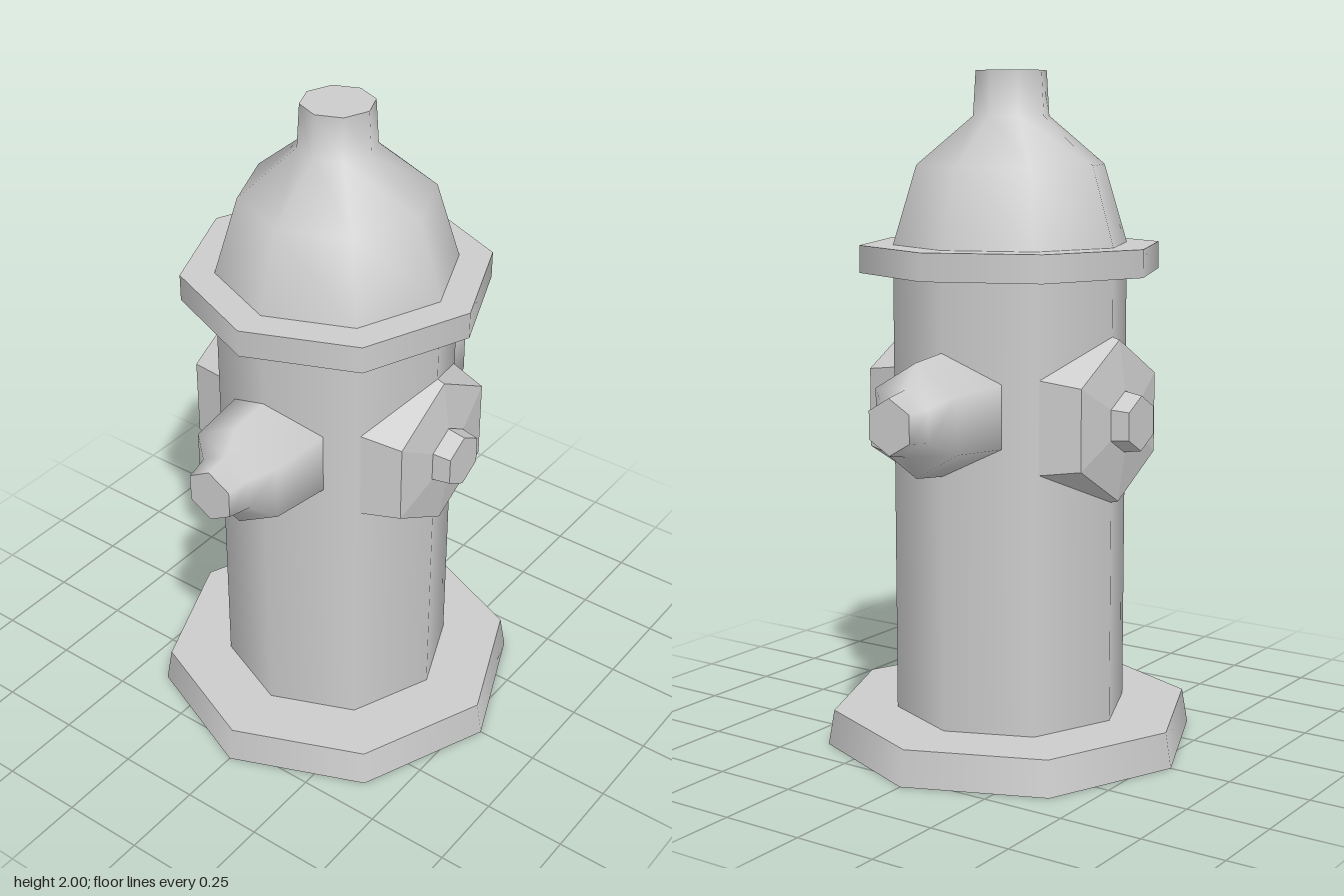
import * as THREE from 'three';
import { mergeGeometries } from 'three/addons/utils/BufferGeometryUtils.js';

const material = new THREE.MeshStandardMaterial({ color: 0xcccccc });

// Each run of [radius, height] points is smooth; edges between runs stay sharp.
function turned(name, sides, runs, flat = false) {
  const parts = runs.map((run) =>
    new THREE.LatheGeometry(run.map(([r, y]) => new THREE.Vector2(r, y)), sides));
  let geometry = mergeGeometries(parts);
  if (flat) {
    geometry = geometry.toNonIndexed();
    geometry.computeVertexNormals();
  }
  const mesh = new THREE.Mesh(geometry, material);
  mesh.name = name;
  return mesh;
}

// Points a fitting, built along +y, outwards from the barrel at the given turn.
function outlet(name, turn, height, meshes) {
  const group = new THREE.Group();
  group.name = name;
  group.rotation.set(Math.PI / 2, 0, turn, 'YXZ');
  group.rotation.set(Math.PI / 2, turn, 0, 'YXZ');
  group.position.y = height;
  group.add(...meshes);
  return group;
}

export function createModel() {
  const model = new THREE.Group();
  model.name = 'fireHydrant';

  // Octagonal body, stacked from the ground up
  model.add(
    turned('base', 8, [
      [[0, 0], [0.56, 0]],
      [[0.56, 0], [0.542, 0.105]],
      [[0.542, 0.105], [0, 0.105]],
    ]),
    turned('barrel', 8, [[[0.35, 0.1], [0.35, 1.43]]]),
    turned('flange', 8, [
      [[0, 1.42], [0.448, 1.42]],
      [[0.448, 1.42], [0.448, 1.5]],
      [[0.448, 1.5], [0, 1.5]],
    ]),
    turned('bonnet', 8, [
      [[0.35, 1.5], [0.28, 1.73], [0.113, 1.87], [0.105, 2]],
      [[0.105, 2], [0, 2]],
    ]),
  );

  // Hexagonal side nozzles, left and right
  for (const side of [1, -1]) {
    model.add(outlet(side > 0 ? 'leftNozzle' : 'rightNozzle', side * Math.PI / 2, 1.035, [
      turned('nozzle', 6, [
        [[0.187, 0.26], [0.163, 0.47], [0.094, 0.52], [0.08, 0.592]],
        [[0.08, 0.592], [0, 0.592]],
      ]),
    ]));
  }

  // Wide hexagonal caps with a bolt, front and back
  for (const [name, turn] of [['frontCap', 0], ['backCap', Math.PI]]) {
    model.add(outlet(name, turn, 1.005, [
      turned('cap', 6, [[[0.275, 0.235], [0.235, 0.373], [0.09, 0.394]]], true),
      turned('bolt', 6, [[[0.09, 0.385], [0.08, 0.448], [0, 0.448]]], true),
    ]));
  }

  return model;
}
